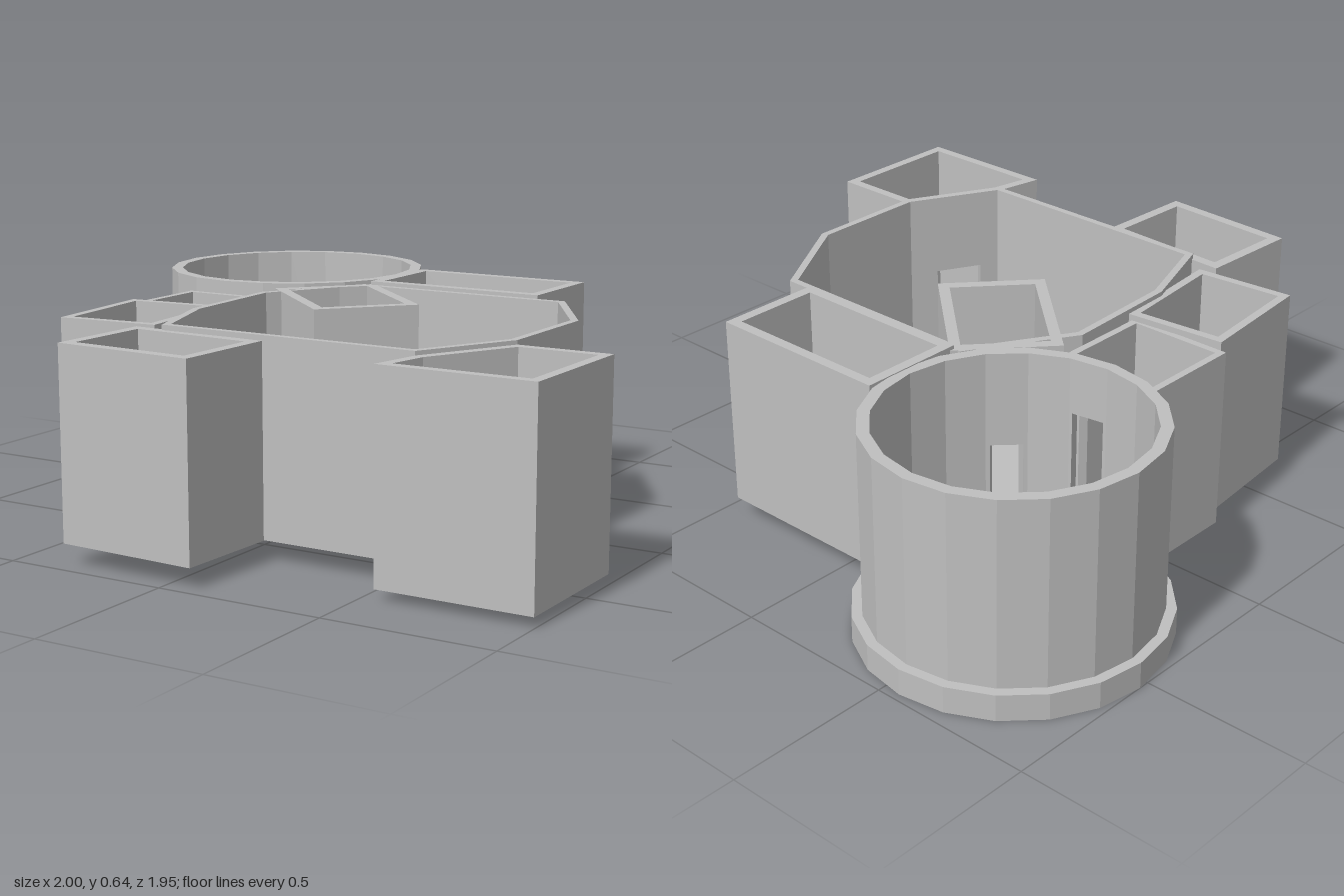
import * as THREE from 'three';

const stone = new THREE.MeshStandardMaterial({ color: 0xbfbfbf });
stone.name = 'grey stone';

// Upright prism over a plan outline of [x, z] points
function prism(name, plan, y0, y1) {
  const shape = new THREE.Shape(plan.map(([x, z]) => new THREE.Vector2(x, -z)));
  const geo = new THREE.ExtrudeGeometry(shape, { depth: y1 - y0, bevelEnabled: false });
  geo.rotateX(-Math.PI / 2);
  geo.translate(0, y0, 0);
  const mesh = new THREE.Mesh(geo, stone);
  mesh.name = name;
  return mesh;
}

const mix = (a, b, t) => [a[0] + (b[0] - a[0]) * t, a[1] + (b[1] - a[1]) * t];

// Rectangle plan: centre, width, depth and turn in degrees
function rectangle(cx, cz, width, depth, degrees = 0) {
  const c = Math.cos(degrees * Math.PI / 180);
  const s = Math.sin(degrees * Math.PI / 180);
  return [[-1, -1], [1, -1], [1, 1], [-1, 1]].map(([i, j]) => {
    const x = i * width / 2;
    const z = j * depth / 2;
    return [cx + x * c - z * s, cz + x * s + z * c];
  });
}

// Twenty-sided plan of the tower
const ring = (r) => Array.from({ length: 20 }, (_, k) => {
  const a = k * Math.PI / 10;
  return [-0.553 + r * Math.cos(a), -0.531 + r * Math.sin(a)];
});

// Inner outline of a wall of even thickness, mitred at the corners
function inset(plan, thickness) {
  const normals = plan.map((a, i) => {
    const b = plan[(i + 1) % plan.length];
    const length = Math.hypot(b[0] - a[0], b[1] - a[1]);
    return [(a[1] - b[1]) / length, (b[0] - a[0]) / length];
  });
  return plan.map(([x, z], i) => {
    const n = normals[i];
    const m = normals[(i + plan.length - 1) % plan.length];
    const k = thickness / (1 + n[0] * m[0] + n[1] * m[1]);
    return [x + (n[0] + m[0]) * k, z + (n[1] + m[1]) * k];
  });
}

// Roofless room: floor slab and walls; doors = { wallIndex: [start, end, topY] }
function room(name, outer, thickness, y0, y1, doors = {}) {
  const group = new THREE.Group();
  group.name = name;
  const floor = y0 + 0.03;
  const inner = inset(outer, thickness);
  group.add(prism('floor', outer, y0, floor));
  outer.forEach((a, i) => {
    const j = (i + 1) % outer.length;
    const strip = (part, t0, t1, from) => group.add(prism(part, [
      mix(a, outer[j], t0), mix(a, outer[j], t1),
      mix(inner[i], inner[j], t1), mix(inner[i], inner[j], t0),
    ], from, y1));
    if (!doors[i]) {
      strip('wall', 0, 1, floor);
      return;
    }
    const [start, end, top] = doors[i];
    strip('doorSide', 0, start, floor);
    strip('doorSide', end, 1, floor);
    strip('doorLintel', start, end, top);
  });
  return group;
}

export function createModel() {
  const model = new THREE.Group();
  model.name = 'rooflessBuilding';

  // Eight-sided hall and the corner room that fits against it
  const hall = [[-0.17, -0.33], [0.53, -0.33], [0.72, -0.02], [0.72, 0.36],
    [0.57, 0.645], [-0.24, 0.645], [-0.34, 0.36], [-0.355, -0.02]];
  const corner = [hall[3], [1, 0.36], [1, 0.802], [0.54, 0.802], hall[4]];
  model.add(room('mainHall', hall, 0.022, 0.06, 0.632,
    { 3: [0.3, 0.8, 0.37], 7: [0.45, 0.85, 0.35] }));
  model.add(room('southEastRoom', corner, 0.03, 0.03, 0.62, { 4: [0.2, 0.7, 0.37] }));

  // Rectangular rooms around and inside the hall
  model.add(room('northRoom', rectangle(0.147, -0.495, 0.585, 0.33), 0.032, 0.06, 0.643));
  model.add(room('diagonalRoom', rectangle(-0.085, -0.076, 0.45, 0.322, 42), 0.033, 0.06, 0.632,
    { 1: [0.2, 0.5, 0.3], 3: [0.35, 0.65, 0.35] }));
  model.add(room('northWestRoom', rectangle(-0.521, 0.054, 0.328, 0.325), 0.022, 0.04, 0.6,
    { 0: [0.46, 0.8, 0.47] }));
  model.add(room('westRoom', rectangle(-0.482, 0.41, 0.315, 0.393, -5.5), 0.026, 0.06, 0.618));
  model.add(room('southRoom', rectangle(-0.128, 0.803, 0.438, 0.327, 2.5), 0.033, 0.06, 0.617));

  // Round tower on a wider plinth
  model.add(room('roundTower', ring(0.417), 0.035, 0.05, 0.64,
    { 2: [0.08, 0.92, 0.35], 4: [0.08, 0.92, 0.47] }));
  model.add(prism('towerPlinth', ring(0.447), 0, 0.08));
  return model;
}
